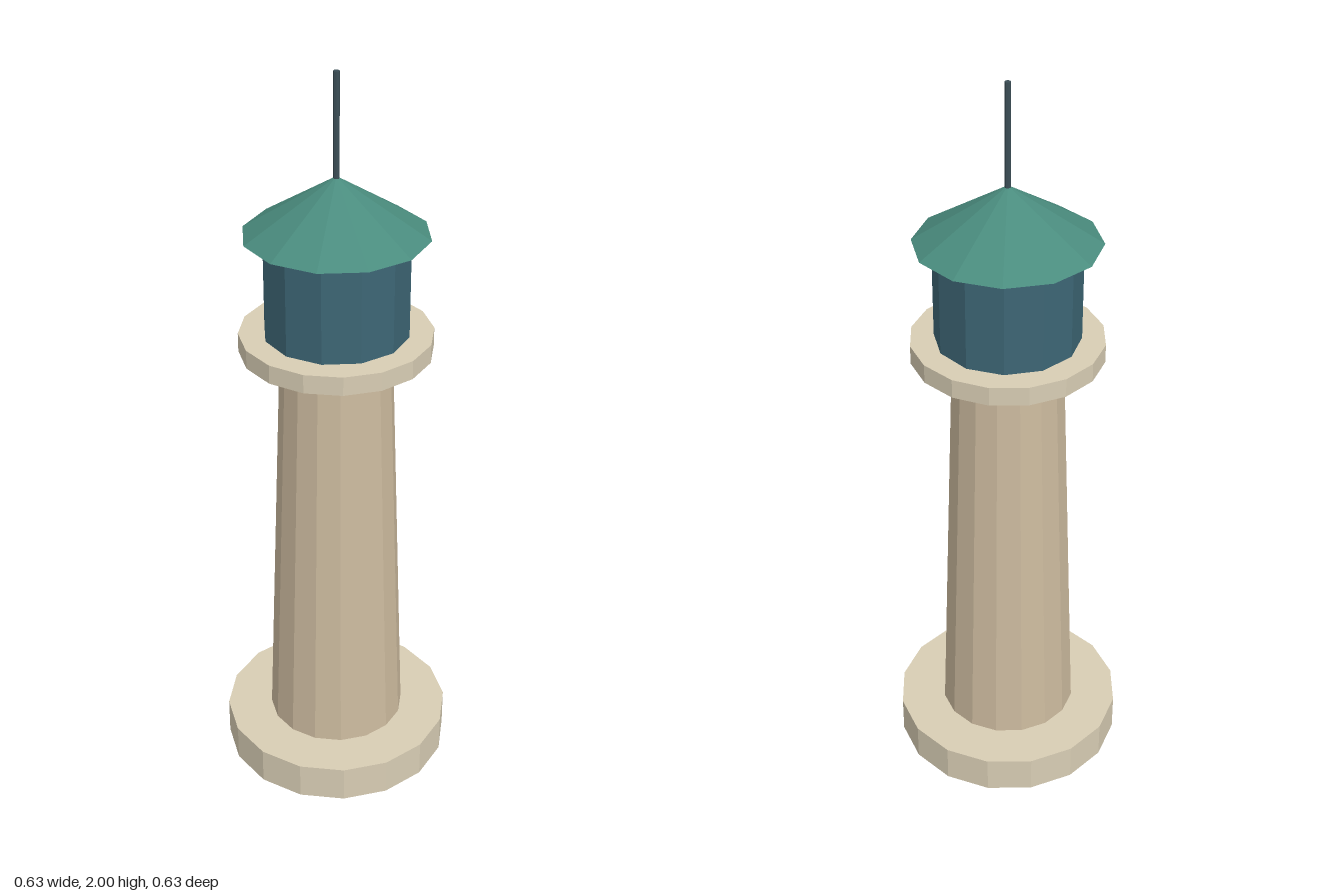
import * as THREE from 'three';

export function createModel() {
  const model = new THREE.Group();
  model.name = 'lighthouse';

  // Faceted round part standing between two heights
  const addRound = (name, color, rTop, rBottom, y0, y1, sides) => {
    const geometry = rTop === 0
      ? new THREE.ConeGeometry(rBottom, y1 - y0, sides)
      : new THREE.CylinderGeometry(rTop, rBottom, y1 - y0, sides);
    const material = new THREE.MeshStandardMaterial({ color, flatShading: true });
    const mesh = new THREE.Mesh(geometry, material);
    mesh.name = name;
    mesh.position.y = (y0 + y1) / 2;
    model.add(mesh);
  };

  const stone = 0xd8cdb4;
  addRound('base', stone, 0.316, 0.316, 0, 0.105, 16);
  addRound('tower', 0xcdbb9f, 0.147, 0.19, 0.105, 1.265, 16);
  addRound('galleryDeck', stone, 0.253, 0.253, 1.265, 1.316, 16);
  addRound('lanternRoom', 0x3d6675, 0.19, 0.19, 1.316, 1.585, 12);
  addRound('roof', 0x4a8c7e, 0, 0.24, 1.585, 1.737, 12);
  addRound('mast', 0x3c4f57, 0.008, 0.008, 1.73, 2, 8);

  return model;
}
